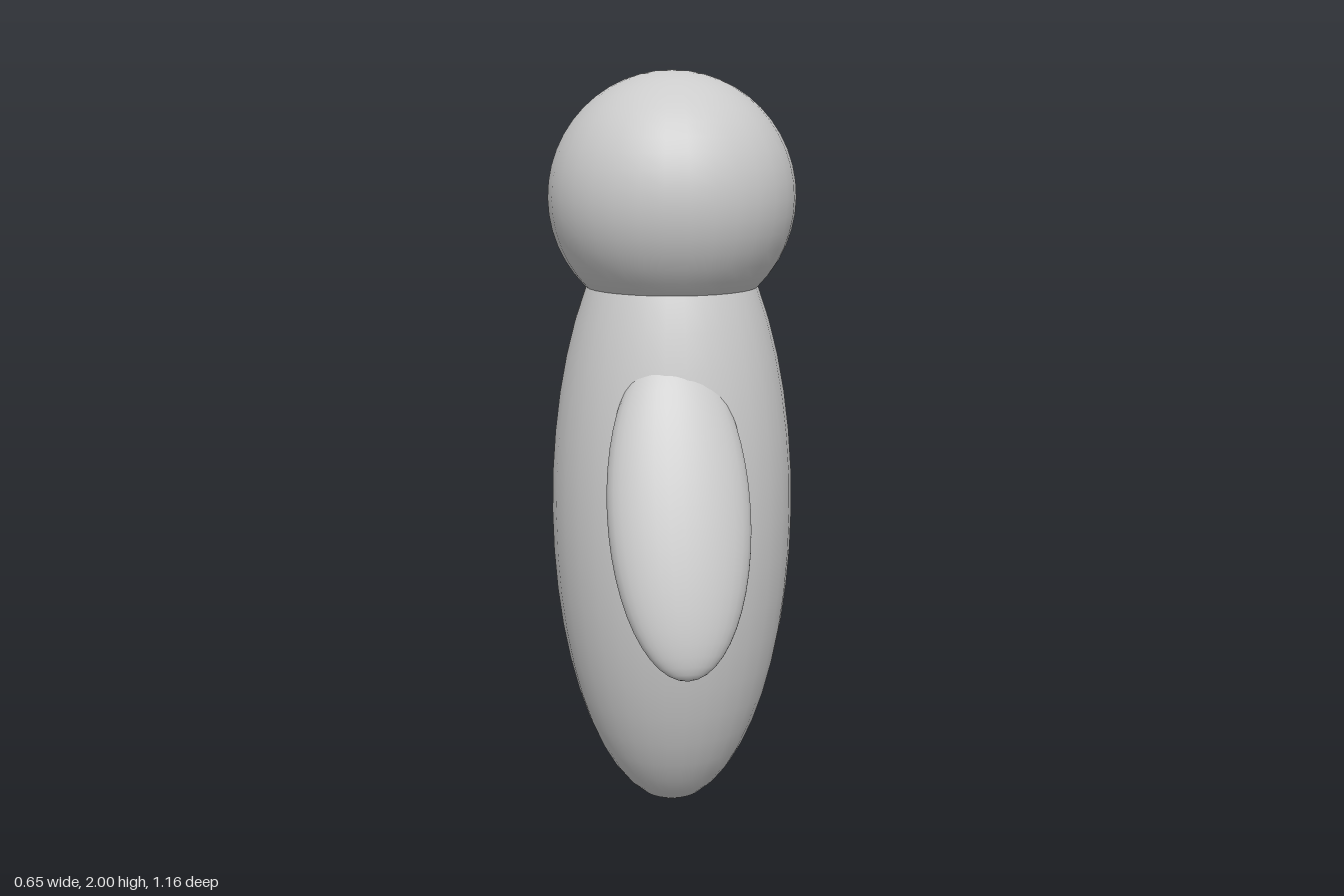
import * as THREE from 'three';

const material = new THREE.MeshStandardMaterial({ color: 0xcccccc });

// Smooth ellipsoid with half-sizes `radii`, leaned about the x axis
function ellipsoid(name, radii, position, tilt = 0) {
  const geometry = new THREE.SphereGeometry(1, 32, 24);
  geometry.scale(...radii);
  const mesh = new THREE.Mesh(geometry, material);
  mesh.name = name;
  mesh.position.set(...position);
  mesh.rotation.x = THREE.MathUtils.degToRad(tilt);
  return mesh;
}

export function createModel() {
  const model = new THREE.Group();
  model.name = 'figure';
  const r = 0.323, z = 0.053;

  // Long body with a ball head sunk into its top
  model.add(ellipsoid('body', [r, 0.842, r], [0, 0.846, z]));
  model.add(ellipsoid('head', [r, r, r], [0, 1.677, z]));

  // Flat oval wings, spreading outward toward their lower tips
  model.add(ellipsoid('frontWing', [0.181, 0.42, 0.095], [-0.03, 0.925, 0.402], -22));
  model.add(ellipsoid('backWing', [0.181, 0.43, 0.093], [-0.03, 0.85, -0.376], 26));
  return model;
}
